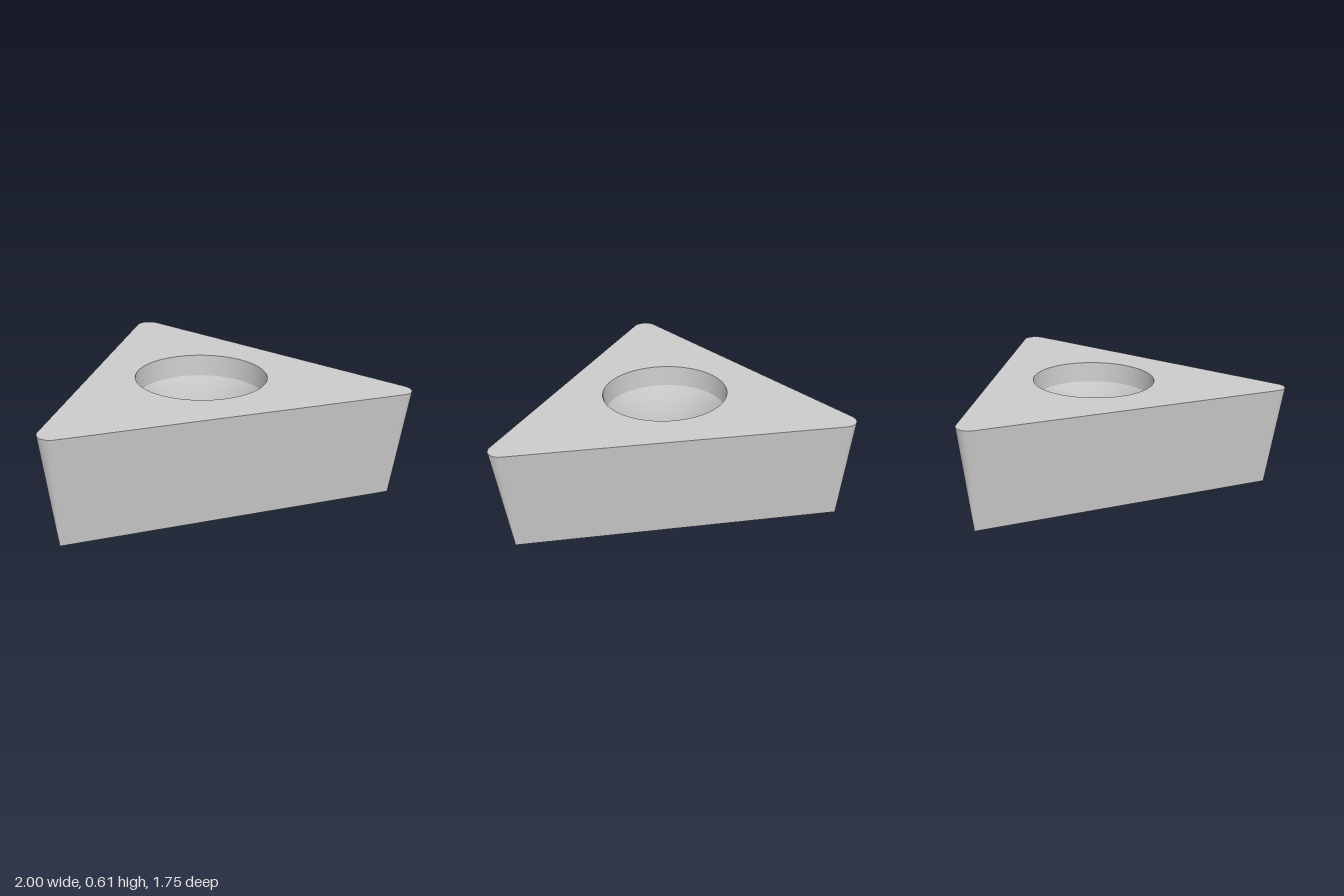
import * as THREE from 'three';

const H = 0.61;            // height
const R = 0.075;           // top corner radius, tapering to a sharp corner at the base
const D = 1.85 / Math.sqrt(3); // centroid to corner
const CZ = 0.267;          // centroid position in z
const STEPS = 16, SEG = 96;
const RIM = 0.368, BORE = 0.27;

// Counter-clockwise outline: corner centre plus outward direction (v = -z)
function outline() {
  const list = [];
  for (let k = 0; k < 3; k++) {
    const a = Math.PI / 2 + k * Math.PI * 2 / 3;
    const c = new THREE.Vector2(Math.cos(a), Math.sin(a)).multiplyScalar(D);
    for (let i = 0; i <= STEPS; i++) {
      const b = a + (i / STEPS - 0.5) * Math.PI * 2 / 3;
      list.push({ c, d: new THREE.Vector2(Math.cos(b), Math.sin(b)) });
    }
  }
  return list;
}

// Flat triangular face with the round hole
function capGeometry(points, holeRadius) {
  const shape = new THREE.Shape(points);
  const hole = new THREE.Path();
  hole.absarc(0, 0, holeRadius, 0, Math.PI * 2, true);
  shape.holes.push(hole);
  return new THREE.ShapeGeometry(shape, SEG / 2);
}

// Drafted flanks: flat sides joined by conical corners
function flankGeometry(ring) {
  const pos = [], nor = [], idx = [];
  const slope = Math.atan2(R, H), n = ring.length;
  ring.forEach(({ c, d }, i) => {
    pos.push(c.x, 0, -c.y, c.x + R * d.x, H, -c.y - R * d.y);
    for (let k = 0; k < 2; k++) {
      nor.push(d.x * Math.cos(slope), -Math.sin(slope), -d.y * Math.cos(slope));
    }
    const a = 2 * i, b = 2 * ((i + 1) % n);
    idx.push(a, b, b + 1, a, b + 1, a + 1);
  });
  const g = new THREE.BufferGeometry();
  g.setAttribute('position', new THREE.Float32BufferAttribute(pos, 3));
  g.setAttribute('normal', new THREE.Float32BufferAttribute(nor, 3));
  g.setIndex(idx);
  return g;
}

export function createModel() {
  const group = new THREE.Group();
  group.name = 'triangularInsert';
  const material = new THREE.MeshStandardMaterial({ color: 0xcccccc });
  const add = (name, geometry) => {
    const mesh = new THREE.Mesh(geometry, material);
    mesh.name = name;
    mesh.position.z = CZ;
    group.add(mesh);
  };

  const ring = outline();
  add('flanks', flankGeometry(ring));

  const top = capGeometry(ring.map(({ c, d }) => c.clone().addScaledVector(d, R)), RIM);
  add('topFace', top.rotateX(-Math.PI / 2).translate(0, H, 0));

  const corners = [0, 1, 2].map(k => ring[k * (STEPS + 1)].c);
  add('bottomFace', capGeometry(corners, BORE).rotateZ(Math.PI).rotateX(Math.PI / 2));

  // Hole: counterbore wall, then a curved screw seat blending into the bore
  const seatTop = 0.485, seatRadius = 0.36, angle = Math.PI / 6;
  const bend = (seatRadius - BORE) / (1 - Math.cos(angle));
  const seatBase = seatTop - bend * Math.sin(angle);
  const seat = [];
  for (let i = 0; i <= 12; i++) {
    const a = angle * (1 - i / 12);
    seat.push(new THREE.Vector2(BORE + bend * (1 - Math.cos(a)), seatBase + bend * Math.sin(a)));
  }
  const lathe = points => new THREE.LatheGeometry(points, SEG);
  add('counterboreWall', lathe([new THREE.Vector2(RIM, H), new THREE.Vector2(seatRadius, seatTop)]));
  add('screwSeat', lathe(seat));
  add('bore', lathe([new THREE.Vector2(BORE, seatBase), new THREE.Vector2(BORE, 0)]));

  return group;
}
